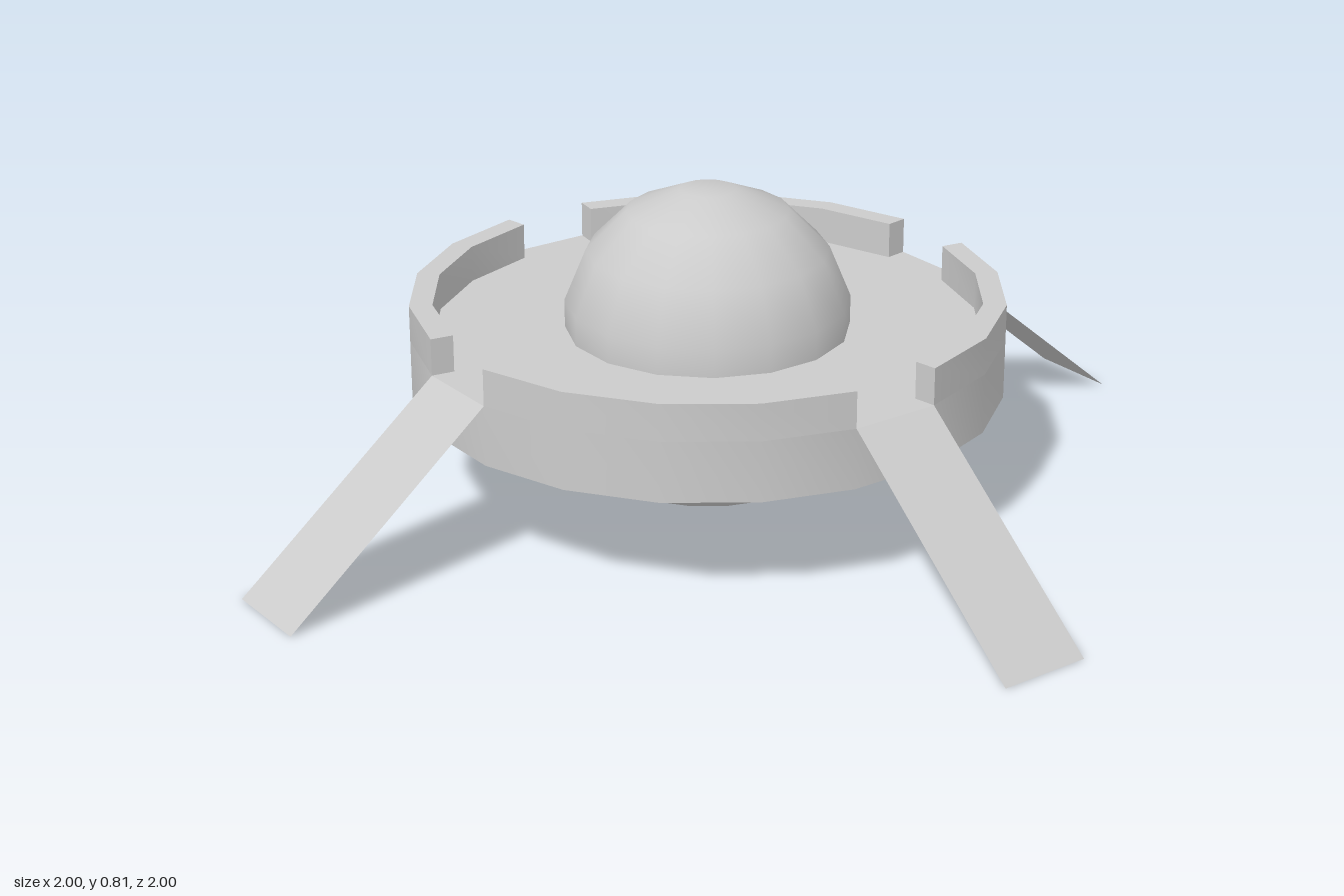
import * as THREE from 'three';
import { toCreasedNormals } from 'three/addons/utils/BufferGeometryUtils.js';

const SIDES = 20;
const STEP = (Math.PI * 2) / SIDES;
const DISC_R = 0.757, RIM_R = 0.698;
const BASE_Y = 0.29, FLOOR_Y = 0.445, RIM_Y = 0.54;

export function createModel() {
  const model = new THREE.Group();
  model.name = 'domedLander';
  const grey = new THREE.MeshStandardMaterial({ color: 0xcccccc });
  const thin = new THREE.MeshStandardMaterial({ color: 0xcccccc, side: THREE.DoubleSide });

  const add = (name, geometry, material = grey) => {
    const mesh = new THREE.Mesh(geometry, material);
    mesh.name = name;
    model.add(mesh);
    return mesh;
  };
  const lathe = (points, sides, start = 0) => toCreasedNormals(
    new THREE.LatheGeometry(points.map(([r, y]) => new THREE.Vector2(r, y)), sides, start), 0.6);

  // Disc body with the deck on top
  add('disc', lathe([[0, BASE_Y], [DISC_R, BASE_Y], [DISC_R, FLOOR_Y], [0, FLOOR_Y]], SIDES));

  // Dome: 16-sided section, turned so a flat faces each axis
  const domeR = 0.371, half = Math.PI / 16;
  const domeProfile = [[domeR * Math.cos(half), FLOOR_Y]];
  for (let i = 0; i < 4; i++) {
    const a = half * (1 + 2 * i);
    domeProfile.push([domeR * Math.cos(a), FLOOR_Y + domeR * Math.sin(a)]);
  }
  domeProfile.push([0, FLOOR_Y + domeR * Math.cos(half)]);
  add('dome', lathe(domeProfile, 16, half));

  // Stepped hub under the disc
  add('hub', lathe([[0, 0.07], [0.298, 0.07], [0.357, 0.13], [0.357, 0.23], [0.425, BASE_Y]], SIDES));

  // One raised rim section, four facets long
  const arc = new THREE.Shape();
  for (let i = -2; i <= 2; i++) {
    const x = DISC_R * Math.cos(i * STEP), y = DISC_R * Math.sin(i * STEP);
    if (i === -2) arc.moveTo(x, y); else arc.lineTo(x, y);
  }
  for (let i = 2; i >= -2; i--) arc.lineTo(RIM_R * Math.cos(i * STEP), RIM_R * Math.sin(i * STEP));
  arc.closePath();
  const rim = toCreasedNormals(new THREE.ExtrudeGeometry(arc, {
    depth: RIM_Y - FLOOR_Y, bevelEnabled: false,
  }).rotateX(-Math.PI / 2).translate(0, FLOOR_Y, 0), 0.6);

  // One thin sloping ramp, filling the gap between two rim sections
  const c = DISC_R * Math.sin(2 * STEP), d = DISC_R * Math.cos(2 * STEP);
  const ramp = new THREE.BufferGeometry();
  ramp.setAttribute('position', new THREE.Float32BufferAttribute([
    c, FLOOR_Y, d, 0.83, 0, 1, 1, 0, 0.83, d, FLOOR_Y, c,
  ], 3));
  ramp.setIndex([0, 1, 2, 0, 2, 3]);
  ramp.computeVertexNormals();

  // Four of each around the disc
  for (let i = 0; i < 4; i++) {
    add('rimSection' + (i + 1), rim).rotation.y = (i * Math.PI) / 2;
    add('ramp' + (i + 1), ramp, thin).rotation.y = (i * Math.PI) / 2;
  }
  return model;
}
